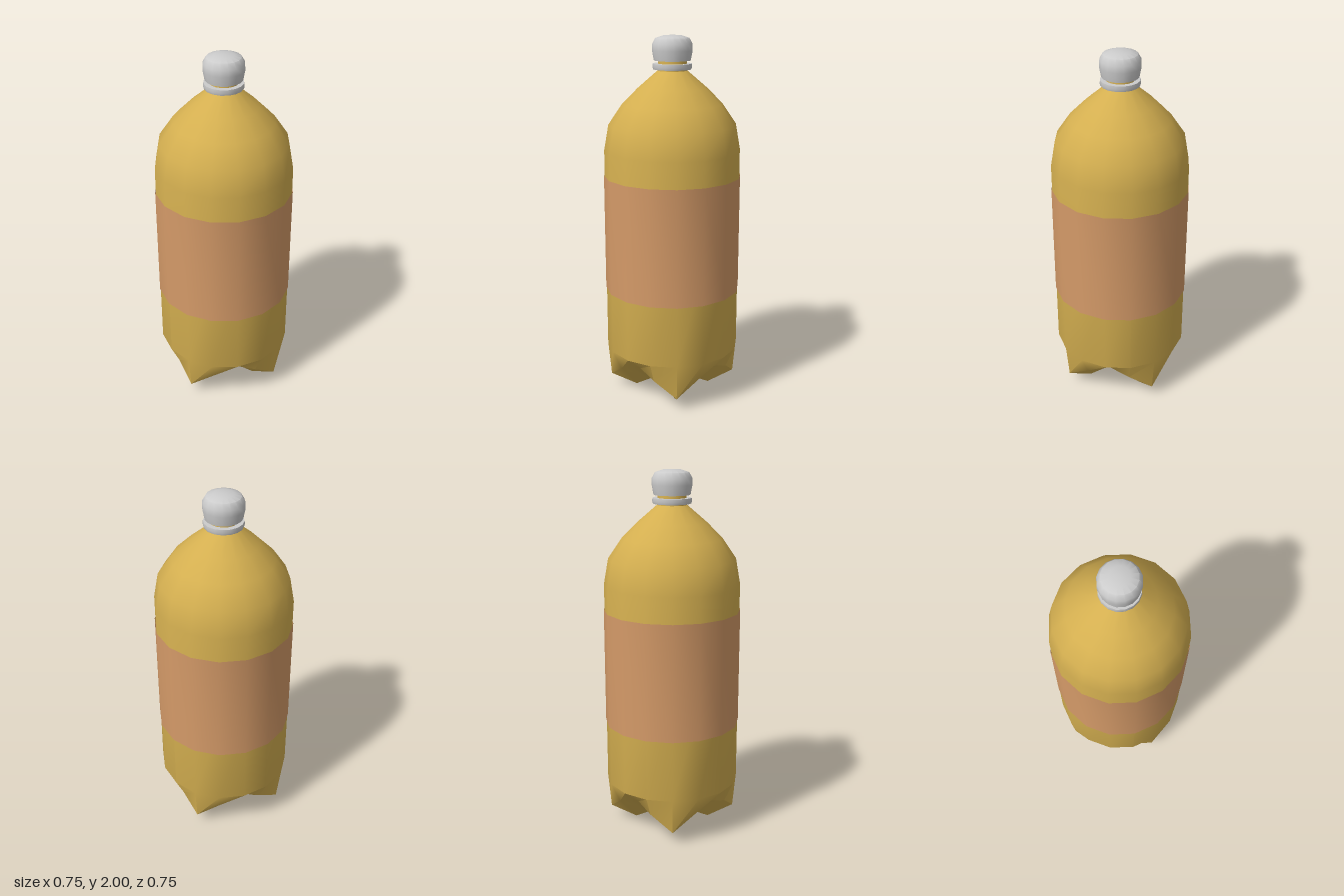
import * as THREE from 'three';
import { mergeVertices, toCreasedNormals } from 'three/addons/utils/BufferGeometryUtils.js';

const SIDES = 16;

function mat(color) {
  return new THREE.MeshStandardMaterial({ color, side: THREE.DoubleSide });
}

// Skin between closed rings, listed bottom to top; each ring is a function of the side index
// giving [radius, height].
function ringSkin(rings) {
  const pos = [], index = [];
  rings.forEach((ring, i) => {
    for (let j = 0; j < SIDES; j++) {
      const a = (j / SIDES) * Math.PI * 2;
      const [r, y] = ring(j);
      pos.push(r * Math.sin(a), y, r * Math.cos(a));
      if (i === rings.length - 1) continue;
      const k = (j + 1) % SIDES;
      const p = i * SIDES + j, q = i * SIDES + k, s = p + SIDES, t = q + SIDES;
      if (i > 0) index.push(p, q, t);
      // split the quads symmetrically about each foot
      index.push(p, t, s);
    }
  });
  const g = new THREE.BufferGeometry();
  g.setAttribute('position', new THREE.Float32BufferAttribute(pos, 3));
  g.setIndex(index);
  return toCreasedNormals(mergeVertices(g), 0.7);
}

function lathe(points) {
  const g = new THREE.LatheGeometry(points.map(([r, y]) => new THREE.Vector2(r, y)), SIDES);
  g.deleteAttribute('uv');
  g.deleteAttribute('normal');
  return toCreasedNormals(mergeVertices(g), 0.75);
}

export function createModel() {
  const group = new THREE.Group();
  const add = (name, geometry, material) => {
    const mesh = new THREE.Mesh(geometry, material);
    mesh.name = name;
    group.add(mesh);
  };

  const amber = mat(0xd4af50);
  const white = mat(0xcccccc);

  // Four-footed base: valleys on the axes, flanks beside them, feet on the diagonals
  const lobed = (valley, flank, foot) => (j) => [valley, flank, foot, flank][j % 4];
  const round = (r, y) => () => [r, y];

  add('bottleBody', ringSkin([
    round(0, 0.08),
    lobed([0.12, 0.115], [0.165, 0.07], [0.208, 0.005]),
    lobed([0.27, 0.19], [0.32, 0.16], [0.352, 0.075]),
    round(0.37, 0.27),
    round(0.37, 0.83),
    round(0.37, 1.39),
    round(0.345, 1.53),
    round(0.27, 1.64),
    round(0.185, 1.725),
    round(0.08, 1.815),
    round(0.075, 1.88),
  ]), amber);

  // Wrap-around label
  add('label', lathe([[0.374, 0.61], [0.374, 1.25]]), mat(0xd49a68));

  // Collar ring under the cap
  add('collarRing', lathe([
    [0.07, 1.822], [0.102, 1.822], [0.106, 1.835], [0.104, 1.852], [0.07, 1.852],
  ]), white);

  // Domed screw cap
  add('cap', lathe([
    [0, 1.868], [0.098, 1.868], [0.108, 1.92], [0.107, 1.955], [0.09, 1.985], [0.05, 1.998], [0, 2],
  ]), white);

  return group;
}
